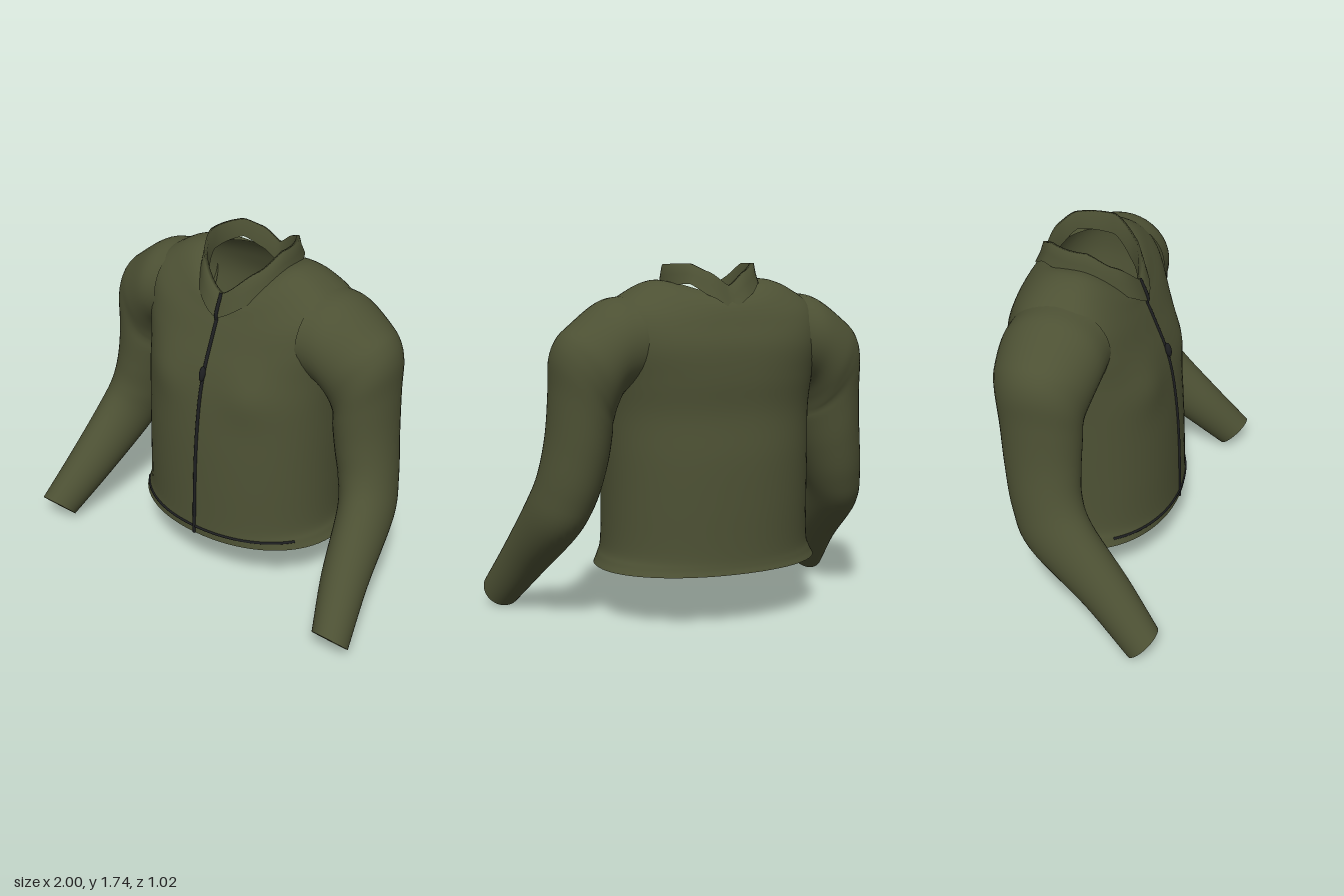
import * as THREE from 'three';

// Smooth interpolation through rows of numbers; t runs from 0 to rows.length - 1
function spline(rows) {
  const size = rows[0].length;
  const s = new THREE.CubicInterpolant(rows.map((_, i) => i), rows.flat(), size, new Array(size));
  return t => [...s.evaluate(t)];
}

// Closed-ring surface from point(t, angle), t in 0..tMax
function loft(point, tMax, steps, sides) {
  const pos = [], idx = [];
  for (let i = 0; i <= steps; i++)
    for (let j = 0; j < sides; j++) pos.push(...point(tMax * i / steps, 2 * Math.PI * j / sides));
  for (let i = 0; i < steps; i++)
    for (let j = 0; j < sides; j++) {
      const k = (j + 1) % sides, a = i * sides, b = a + sides;
      idx.push(a + j, a + k, b + j, a + k, b + k, b + j);
    }
  const g = new THREE.BufferGeometry();
  g.setAttribute('position', new THREE.Float32BufferAttribute(pos, 3));
  g.setIndex(idx);
  g.computeVertexNormals();
  return g;
}

const power = (v, e) => Math.sign(v) * Math.abs(v) ** e;

// Torso rings: side y, front y, back y, half width, front z, back z, roundness exponent
const torsoRow = spline([
  [0.27, 0.27, 0.275, 0.575, 0.36, -0.515, 2.1],
  [0.31, 0.31, 0.31, 0.555, 0.36, -0.505, 2.1],
  [0.38, 0.38, 0.38, 0.535, 0.357, -0.5, 2.1],
  [0.6, 0.6, 0.6, 0.53, 0.347, -0.497, 2.15],
  [0.82, 0.82, 0.82, 0.53, 0.33, -0.488, 2.2],
  [1.03, 1.03, 1.03, 0.53, 0.3, -0.465, 2.3],
  [1.2, 1.18, 1.2, 0.54, 0.26, -0.47, 2.4],
  [1.38, 1.3, 1.35, 0.555, 0.212, -0.46, 2.6],
  [1.53, 1.38, 1.46, 0.53, 0.178, -0.425, 2.6],
  [1.625, 1.43, 1.53, 0.41, 0.155, -0.395, 2.4],
  [1.665, 1.47, 1.57, 0.3, 0.138, -0.365, 2.2],
  [1.655, 1.49, 1.6, 0.205, 0.115, -0.325, 2],
]);
const TORSO_TOP = 11;

function torsoPoint(t, a) {
  const [ys, yf, yb, hw, zf, zb, n] = torsoRow(t);
  const c = Math.cos(a), s = Math.sin(a);
  const x = hw * power(s, 2 / n);
  const y = ys + ((c > 0 ? yf : yb) - ys) * c * c;
  let z = (zf + zb) / 2 + (zf - zb) / 2 * power(c, 2 / n);
  // gentle chest fullness
  if (c > 0) z += 0.02 * Math.exp(-(((Math.abs(x) - 0.26) / 0.13) ** 2) - ((y - 1.1) / 0.13) ** 2);
  return [x, y, z];
}

// Sleeve rings: centre xyz, outward half axis (x, y), depth half axis (y, z)
const sleeveRows = [
  [0.43, 1.375, -0.125, 0.01, 0.22, 0, 0.25],
  [0.535, 1.345, -0.13, 0.035, 0.225, 0, 0.25],
  [0.625, 1.26, -0.14, 0.095, 0.205, 0, 0.235],
  [0.665, 1.2, -0.14, 0.125, 0.2, 0, 0.217],
  [0.683, 1.14, -0.135, 0.142, 0.165, 0, 0.205],
  [0.685, 1.04, -0.13, 0.145, 0.11, 0, 0.197],
  [0.703, 0.865, -0.12, 0.143, 0.065, 0.02, 0.185],
  [0.74, 0.685, -0.09, 0.14, 0.035, 0.055, 0.17],
  [0.785, 0.53, -0.01, 0.132, 0.02, 0.08, 0.155],
  [0.84, 0.295, 0.235, 0.115, 0.01, 0.075, 0.105],
  [0.905, 0.085, 0.44, 0.095, 0, 0.075, 0.07],
];
const sleeveRing = row => (t, a) => {
  const [x, y, z, ux, uy, vy, vz] = row(t);
  const c = Math.cos(a), s = Math.sin(a);
  return [x + ux * c, y + uy * c + vy * s, z + vz * s];
};

// Turned-in cuff: lip, then lining running back up the arm
const scaled = (r, k) => r.map((v, i) => i < 3 ? v : v * k);
const [forearm, wrist] = sleeveRows.slice(-2);
const cuffRows = [wrist, scaled(wrist, 0.76), scaled(forearm, 0.8)];

// Collar heights by angle from the front: angle (deg), top y, bottom y
const collarKeys = [[0, 1.53, 1.42], [45, 1.655, 1.52], [80, 1.74, 1.63], [130, 1.745, 1.65], [155, 1.705, 1.59], [180, 1.64, 1.53]];
function collarHeights(a) {
  const deg = 180 / Math.PI * Math.acos(Math.cos(a));
  let i = 0;
  while (i < collarKeys.length - 2 && deg > collarKeys[i + 1][0]) i++;
  const [p, q] = [collarKeys[i], collarKeys[i + 1]];
  const f = THREE.MathUtils.smoothstep(deg, p[0], q[0]) * 0.4 + 0.6 * (deg - p[0]) / (q[0] - p[0]);
  return [1, 2].map(k => p[k] + (q[k] - p[k]) * f);
}
// Collar profile: height fraction, half width, front z, back z
const collarProfile = [[0, 0.242, 0.172, -0.388], [0.5, 0.232, 0.152, -0.36], [1, 0.225, 0.13, -0.342],
  [1, 0.208, 0.113, -0.325], [0.1, 0.2, 0.11, -0.315]];
function collarPoint(t, a) {
  const [h, hw, zf, zb] = collarProfile[Math.round(t)];
  const [top, bottom] = collarHeights(a);
  return [hw * Math.sin(a), bottom + (top - bottom) * h, (zf + zb) / 2 + (zf - zb) / 2 * Math.cos(a)];
}

export function createModel() {
  const cloth = new THREE.MeshStandardMaterial({ color: 0x4d5134, side: THREE.DoubleSide });
  cloth.name = 'olive cloth';
  const dark = new THREE.MeshStandardMaterial({ color: 0x1d1e20 });
  dark.name = 'dark trim';

  const model = new THREE.Group();
  model.name = 'jacket';
  const add = (name, geometry, material, parent = model) => {
    const m = new THREE.Mesh(geometry, material);
    m.name = name;
    parent.add(m);
    return m;
  };

  add('torso', loft(torsoPoint, TORSO_TOP, 66, 72), cloth);
  add('collar', loft(collarPoint, 4, 4, 72), cloth);

  // Sleeves, mirrored
  const sleeve = loft(sleeveRing(spline(sleeveRows)), sleeveRows.length - 1, 60, 40);
  const cuff = loft(sleeveRing(t => cuffRows[Math.round(t)]), 2, 2, 40);
  for (const side of [1, -1]) {
    const arm = new THREE.Group();
    arm.name = side > 0 ? 'leftSleeve' : 'rightSleeve';
    arm.scale.x = side;
    add('sleeve', sleeve, cloth, arm);
    add('cuff', cuff, cloth, arm);
    model.add(arm);
  }

  // Zip running up the front, over the collar band
  const zipPath = [];
  for (let t = 0; t <= 8.5; t += 0.5) zipPath.push(new THREE.Vector3(...torsoPoint(t, 0)));
  zipPath.push(new THREE.Vector3(0, 1.43, 0.171), new THREE.Vector3(0, 1.535, 0.128));
  const zipCurve = new THREE.CatmullRomCurve3(zipPath);
  add('zip', new THREE.TubeGeometry(zipCurve, 80, 0.009, 8), dark);

  // Zip slider
  const slider = add('zipSlider', new THREE.SphereGeometry(1, 16, 12), dark);
  slider.scale.set(0.016, 0.038, 0.016);
  slider.position.set(0, 1.16, 0.278);
  slider.rotation.x = -0.25;

  // Hem seam across the front
  const seam = [];
  for (let i = -20; i <= 20; i++) seam.push(new THREE.Vector3(...torsoPoint(1, i / 20 * 1.04)));
  add('hemSeam', new THREE.TubeGeometry(new THREE.CatmullRomCurve3(seam), 80, 0.007, 6), dark);

  return model;
}
